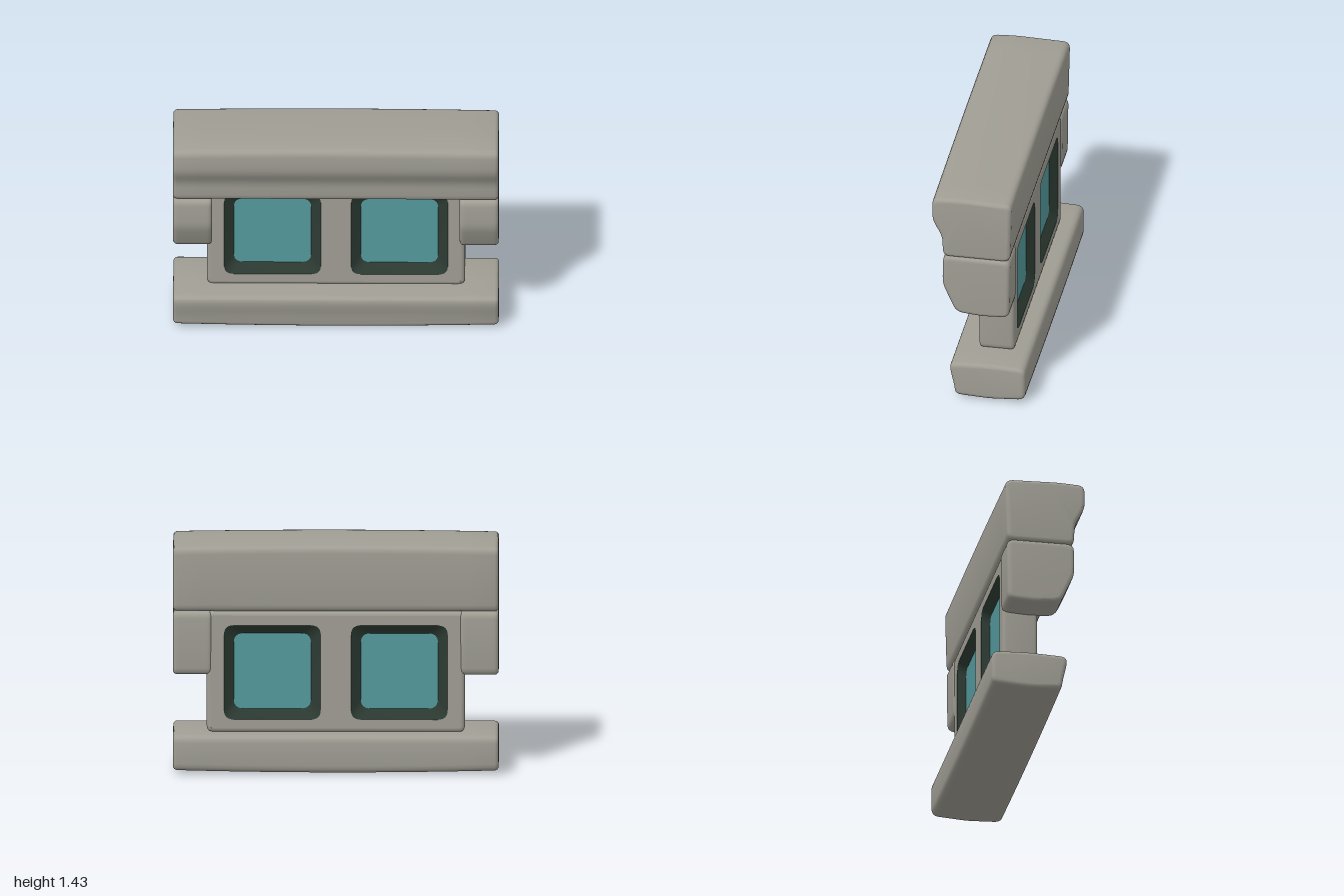
import * as THREE from 'three';
import { mergeVertices, toCreasedNormals } from 'three/addons/utils/BufferGeometryUtils.js';

const mat = (name, color, side = THREE.FrontSide) => {
  const m = new THREE.MeshStandardMaterial({ color, side });
  m.name = name;
  return m;
};

// Closed polygon whose corners are softened over the length d
function softShape(points, d, Type = THREE.Shape) {
  const p = points.map(([x, y]) => new THREE.Vector2(x, y));
  const toward = (a, b) => a.clone().add(b.clone().sub(a).setLength(Math.min(d, a.distanceTo(b) * 0.45)));
  const s = new Type();
  p.forEach((c, i) => {
    const a = toward(c, p[(i + p.length - 1) % p.length]);
    const b = toward(c, p[(i + 1) % p.length]);
    if (i === 0) s.moveTo(a.x, a.y); else s.lineTo(a.x, a.y);
    s.quadraticCurveTo(c.x, c.y, b.x, b.y);
  });
  s.closePath();
  return s;
}

const rect = (cx, cy, w, h) => [[cx - w, cy - h], [cx + w, cy - h], [cx + w, cy + h], [cx - w, cy + h]];

function smooth(geo) {
  geo.deleteAttribute('uv');
  geo.deleteAttribute('normal');
  return toCreasedNormals(mergeVertices(geo, 1e-5), 0.7);
}

// Stone block: a (z, y) profile run along x, with rounded ends and an optional swell
function stoneBlock(profile, x0, x1, swell = () => 0) {
  const b = 0.025;
  const geo = new THREE.ExtrudeGeometry(softShape(profile.map(([z, y]) => [-z, y]), 0.045), {
    depth: x1 - x0 - 2 * b, steps: 12, curveSegments: 4,
    bevelThickness: b, bevelSize: b, bevelOffset: -b, bevelSegments: 4,
  });
  geo.translate(0, 0, x0 + b).rotateY(Math.PI / 2);
  const pos = geo.attributes.position;
  for (let i = 0; i < pos.count; i++) {
    pos.setY(i, pos.getY(i) + swell(pos.getX(i), pos.getY(i)));
  }
  return smooth(geo);
}

// Sloped ring between two matching outlines at different depths
function slopedRing(outer, inner, zOuter, zInner) {
  const a = outer.getPoints(6), b = inner.getPoints(6);
  const verts = [], index = [];
  a.forEach((p, i) => verts.push(p.x, p.y, zOuter, b[i].x, b[i].y, zInner));
  for (let i = 0; i < a.length - 1; i++) {
    const k = 2 * i;
    index.push(k, k + 2, k + 1, k + 1, k + 2, k + 3);
  }
  const geo = new THREE.BufferGeometry();
  geo.setAttribute('position', new THREE.Float32BufferAttribute(verts, 3));
  geo.setIndex(index);
  return toCreasedNormals(geo, 0.6);
}

export function createModel() {
  const model = new THREE.Group();
  model.name = 'stoneWindow';
  const stone = mat('stone', 0xa09e94);
  const dark = mat('darkFrame', 0x2c3a32, THREE.DoubleSide);
  const pane = mat('glass', 0x549a9e);
  const add = (parent, name, geo, material) => {
    const mesh = new THREE.Mesh(geo, material);
    mesh.name = name;
    parent.add(mesh);
    return mesh;
  };

  // Lintel with an overhanging front lip
  add(model, 'lintel', stoneBlock(
    [[-0.195, 1.01], [0.225, 1.01], [0.23, 1.15], [0.292, 1.26], [0.292, 1.415], [0.13, 1.424], [-0.205, 1.415]],
    -1, 1, (x, y) => (y > 1.3 ? 0.01 * (1 - x * x) : 0)), stone);

  // Sill with a sloping front and a slightly sagging underside
  add(model, 'sill', stoneBlock(
    [[-0.29, 0.03], [-0.07, 0.015], [0.148, 0.025], [0.155, 0.09], [0.182, 0.2], [0.175, 0.248], [-0.07, 0.257], [-0.29, 0.248]],
    -1, 1, (x, y) => (y < 0.1 ? -0.014 * (1 - x * x) : 0)), stone);

  // Corbels under both ends of the lintel
  const corbel = [[-0.19, 0.61], [-0.02, 0.6], [0.142, 0.615], [0.228, 0.81], [0.225, 1.012], [-0.195, 1.012]];
  add(model, 'rightCorbel', stoneBlock(corbel, -1, -0.76), stone);
  add(model, 'leftCorbel', stoneBlock(corbel, 0.76, 1), stone);

  // Wall edge: the rounded sides of a slab, without its lids
  const half = 0.11, midZ = -0.075, b = 0.025;
  const wall = new THREE.Group();
  wall.name = 'wall';
  wall.position.z = midZ;
  model.add(wall);
  const slab = new THREE.ExtrudeGeometry(softShape(rect(0, 0.63, 0.793, 0.38), 0.04), {
    depth: 2 * (half - b), curveSegments: 4,
    bevelThickness: b, bevelSize: b, bevelOffset: -b, bevelSegments: 4,
  });
  slab.translate(0, 0, b - half);
  const sides = slab.groups[1];
  const edge = new THREE.BufferGeometry();
  edge.setAttribute('position', new THREE.Float32BufferAttribute(
    slab.attributes.position.array.slice(sides.start * 3, (sides.start + sides.count) * 3), 3));
  add(wall, 'wallEdge', smooth(edge), stone);

  // Front and back faces with two recessed panes each
  for (const side of ['front', 'back']) {
    const face = new THREE.Group();
    face.name = side + 'Face';
    face.rotation.y = side === 'back' ? Math.PI : 0;
    wall.add(face);
    const plate = softShape(rect(0, 0.63, 0.793 - b, 0.38 - b), 0.015);
    for (const cx of [-0.39, 0.39]) {
      const outer = softShape(rect(cx, 0.628, 0.297, 0.297), 0.06);
      const inner = softShape(rect(cx, 0.628, 0.237, 0.237), 0.06);
      plate.holes.push(softShape(rect(cx, 0.628, 0.297, 0.297), 0.06, THREE.Path));
      add(face, 'windowFrame', slopedRing(outer, inner, half, half - 0.045), dark);
      add(face, 'windowPane', new THREE.ShapeGeometry(inner, 6).translate(0, 0, half - 0.045), pane);
    }
    add(face, 'wallFace', new THREE.ShapeGeometry(plate, 6).translate(0, 0, half), stone);
  }
  return model;
}
